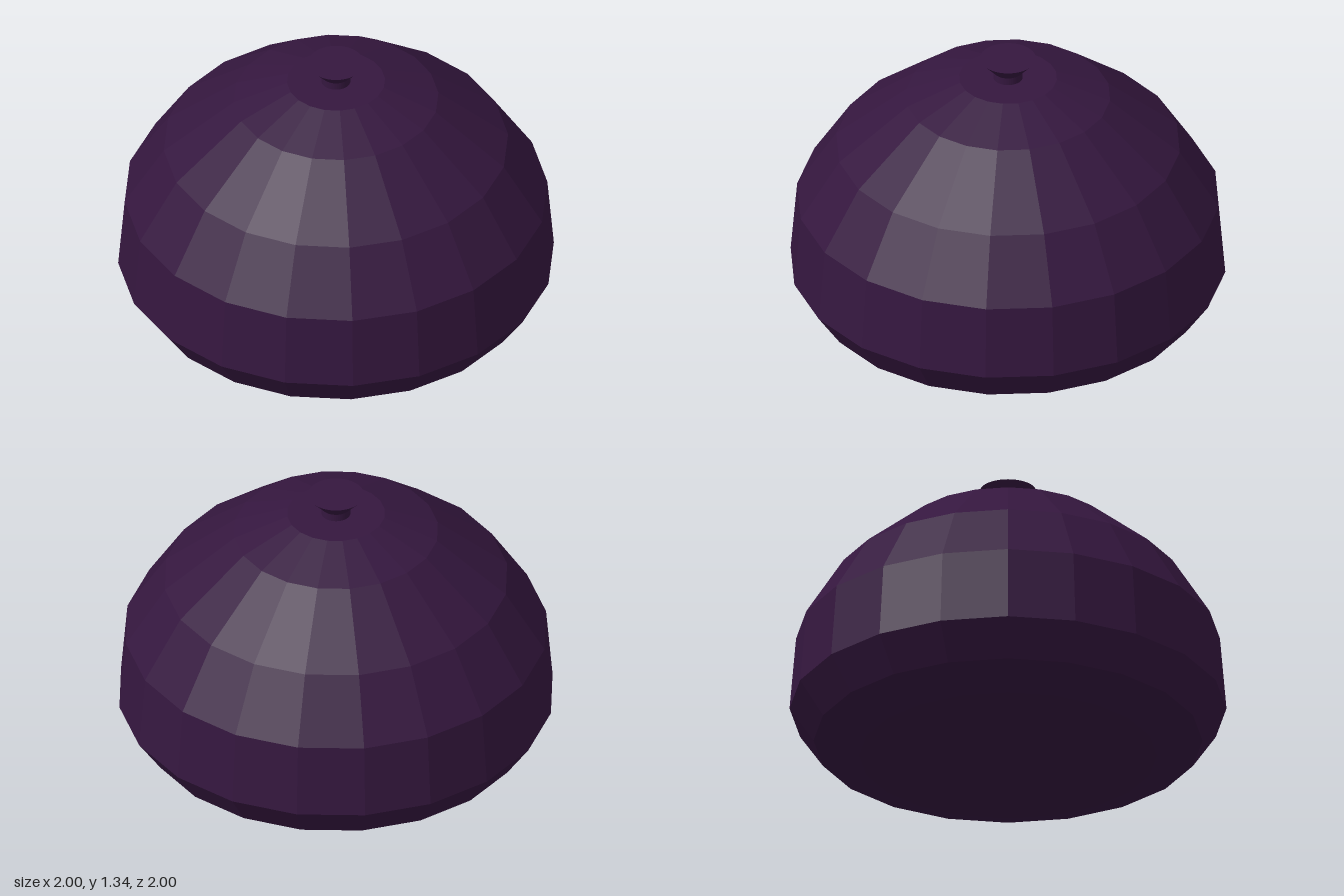
import * as THREE from 'three';

// Solid of revolution from [radius, height] pairs, listed bottom to top
function turned(name, profile, sides, material) {
  const points = profile.map(([r, y]) => new THREE.Vector2(r, y));
  const mesh = new THREE.Mesh(new THREE.LatheGeometry(points, sides), material);
  mesh.name = name;
  return mesh;
}

export function createModel() {
  const group = new THREE.Group();
  group.name = 'domedCushion';
  const purple = new THREE.MeshStandardMaterial({ color: 0x35173f, flatShading: true });

  // Faceted dome with a tucked-in, closed base
  group.add(turned('body', [
    [0, 0], [0.68, 0], [0.89, 0.075], [1, 0.237], [0.97, 0.59],
    [0.79, 0.875], [0.47, 1.135], [0.225, 1.232], [0, 1.232],
  ], 20, purple));

  // Short neck flaring into a flat-topped knob
  group.add(turned('knob', [
    [0, 1.22], [0.067, 1.22], [0.067, 1.268], [0.128, 1.335], [0, 1.335],
  ], 48, purple));

  return group;
}
